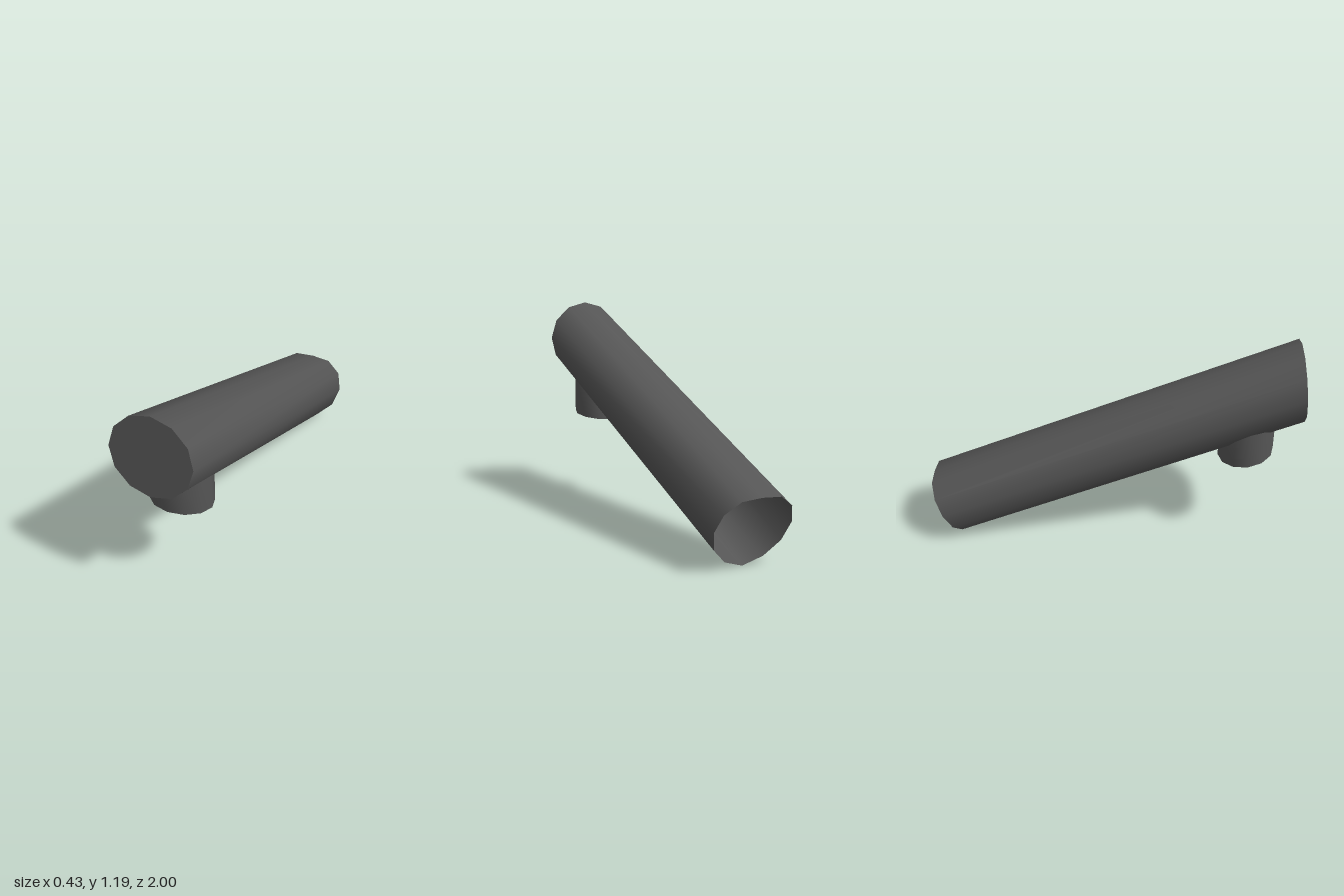
import * as THREE from 'three';

const SIDES = 12;
const material = new THREE.MeshStandardMaterial({ color: 0x555555, side: THREE.DoubleSide });

// Closed ring of points; fn receives (sin, cos, index)
function ring(fn) {
  return Array.from({ length: SIDES }, (_, i) => {
    const a = (i / SIDES) * Math.PI * 2;
    return fn(Math.sin(a), Math.cos(a), i);
  });
}

// Smooth band of faces between two rings
function band(name, a, b) {
  const index = [];
  for (let i = 0; i < SIDES; i++) {
    const j = (i + 1) % SIDES;
    index.push(i, j, SIDES + i, j, SIDES + j, SIDES + i);
  }
  return mesh(name, [...a, ...b], index);
}

// Flat polygon filling one ring
function cap(name, a) {
  const index = [];
  for (let i = 1; i < SIDES - 1; i++) index.push(0, i + 1, i);
  return mesh(name, a, index);
}

function mesh(name, points, index) {
  const geometry = new THREE.BufferGeometry();
  geometry.setAttribute('position', new THREE.Float32BufferAttribute(points.flat(), 3));
  geometry.setIndex(index);
  geometry.computeVertexNormals();
  const m = new THREE.Mesh(geometry, material);
  m.name = name;
  return m;
}

export function createModel() {
  const model = new THREE.Group();
  model.name = 'spout';

  // Sloping pipe: tilted closed front, open back cut square to the slope
  const front = ring((s, c) => [s * 0.217, 0.976 + c * 0.214, 0.978 - c * 0.022]);
  const backHeights = [0.365, 0.357, 0.3, 0.211, 0.113, 0.037, 0];
  const back = ring((s, c, i) => {
    const y = backHeights[Math.min(i, SIDES - i)];
    return [s * 0.217, y, -0.84 - 0.16 * (y / 0.365)];
  });
  model.add(band('pipeWall', front, back), cap('pipeFrontCap', front));

  // Outlet nozzle: vertical wall running up to the underside of the pipe
  const nozzle = new THREE.Group();
  nozzle.name = 'nozzle';
  const rim = (r, lift) => ring((s, c) => {
    const z = c * 0.148 * r;
    return [s * 0.165 * r, 0.535 + z * 0.183 + lift, 0.7175 + z];
  });
  const outer = rim(1, 0);
  const inner = rim(0.71, 0);
  const recess = rim(0.71, 0.1);
  const joint = outer.map(([x, , z]) => {
    const middle = 0.976 - 0.41 * (0.977 - z);
    return [x, middle - 0.223 * Math.sqrt(1 - (x / 0.217) ** 2) + 0.012, z];
  });
  nozzle.add(
    band('nozzleWall', outer, joint),
    band('nozzleRim', inner, outer),
    band('nozzleBore', recess, inner),
    cap('nozzleBoreEnd', recess),
  );
  model.add(nozzle);
  return model;
}
